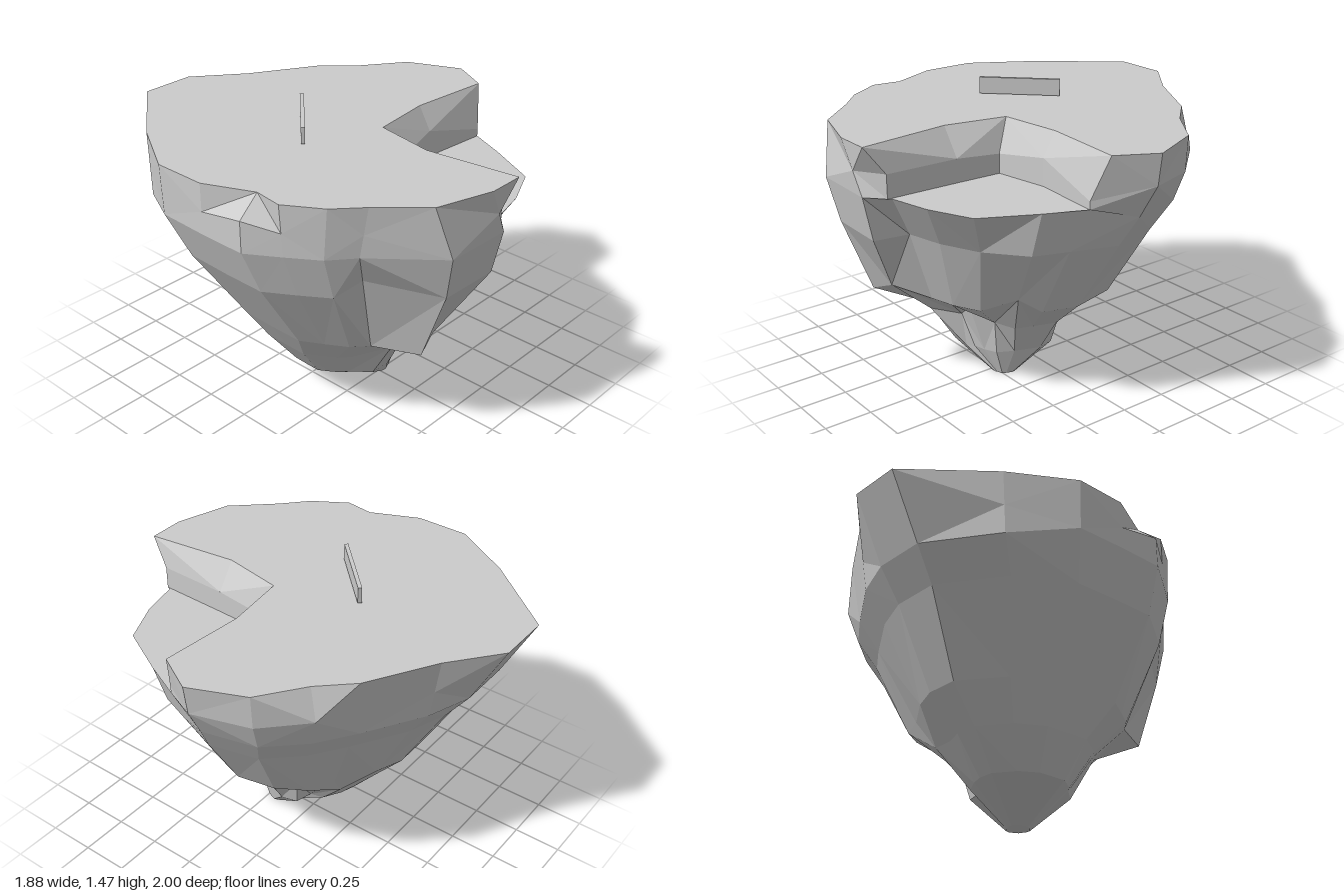
import * as THREE from 'three';

const TOP = 1.38, SHELF = 1.12, BACK = 1.05;

// Plan outline [x, z] of the upper plateau, clockwise seen from above
const plateau = [
  [-0.42, -1], [-0.14, -1], [0.11, -0.8], [0.45, -0.6], [0.6, -0.44], [0.82, -0.28], [0.94, 0],
  [0.83, 0.2], [0.39, 0.16], [0.06, 0.2], [0, 0.52], [0.06, 1],
  [-0.13, 1], [-0.42, 0.91], [-0.61, 0.7], [-0.74, 0.58], [-0.85, 0.4], [-0.83, 0.25],
  [-0.94, 0], [-0.94, -0.28], [-0.75, -0.6],
];
// Plan outline of the shoulder below it, running around the outside of the lower shelf
const shoulder = [
  [-0.41, -0.83], [-0.13, -0.83], [0.1, -0.75], [0.4, -0.57], [0.59, -0.44], [0.76, -0.26], [0.83, 0.02],
  [0.74, 0.27], [0.67, 0.46], [0.53, 0.73], [0.31, 0.83], [0.1, 0.88],
  [0, 0.98], [-0.36, 0.97], [-0.62, 0.66], [-0.74, 0.56], [-0.84, 0.41], [-0.94, 0.25],
  [-0.94, 0], [-0.93, -0.28], [-0.75, -0.59],
];
// Brow [x, y, z] of the cliff behind the shelf
const CLIFF = 7;
const brow = [[0.76, 1.16, 0.26], [0.39, 1.26, 0.23], [0.11, 1.22, 0.28], [0.1, 1.24, 0.52], [0.09, 1.24, 0.9]];
// Steep knobs just below the rim: point, x, y, z
const knobs = [[4, 0.63, 1.22, -0.49], [5, 0.81, 1.2, -0.28], [6, 0.92, 1.22, 0], [17, -0.94, 1.28, 0.25]];

// Underside levels: height and the plan box the shoulder outline shrinks into
const levels = [
  { y: 0.89, x: [-0.85, 0.74], z: [-0.71, 0.93] },
  { y: 0.5, x: [-0.61, 0.5], z: [-0.49, 0.77] },
  { y: 0.32, x: [-0.49, 0.29], z: [-0.34, 0.52] },
  { y: 0.14, x: [-0.36, 0.18], z: [-0.18, 0.37] },
  { y: 0, x: [-0.03, 0.1], z: [0.14, 0.27] },
];
// Crags and hollows: level, point, then shift in x, y, z
const crags = [
  [0, 14, 0.02, 0.06, -0.03], [1, 4, 0.02, 0, -0.03], [1, 5, 0.02, 0.02, -0.02], [1, 8, 0, 0.08, -0.02],
  [1, 12, -0.16, 0.05, -0.03], [1, 13, -0.06, 0, 0.01], [2, 3, 0.02, 0.02, -0.05], [2, 5, -0.06, 0, 0.03],
  [2, 10, 0, 0.08, 0.04], [2, 12, -0.1, 0.04, 0], [2, 13, 0.02, 0.06, 0], [3, 4, -0.04, 0, 0.03],
];

function buildRings() {
  const top = plateau.map(([x, z]) => new THREE.Vector3(x, TOP, z));
  const outer = shoulder.map(([x, z], i) => new THREE.Vector3(x, i < CLIFF || z < -0.5 ? BACK : SHELF, z));
  const mid = top.map((p, i) => p.clone().lerp(outer[i], i % 2 ? 0.42 : 0.55));
  const inner = outer.map((p) => p.clone());
  brow.forEach(([x, y, z], k) => {
    mid[CLIFF + k].set(x, y, z);
    inner[CLIFF + k].set(x, SHELF, z);
  });
  for (const [i, ...p] of knobs) mid[i].set(...p);

  const range = new THREE.Box3().setFromPoints(outer);
  const map = THREE.MathUtils.mapLinear;
  const lower = levels.map(({ y, x, z }) => outer.map((p) => new THREE.Vector3(
    map(p.x, range.min.x, range.max.x, ...x), y, map(p.z, range.min.z, range.max.z, ...z))));
  // Hollow under the shelf, then the single crags
  const hollow = new THREE.Vector3(-0.06, 0, -0.09);
  for (const ring of lower.slice(0, 3)) for (const i of [9, 10, 11]) ring[i].add(hollow);
  for (const [level, i, ...shift] of crags) lower[level][i].add(new THREE.Vector3(...shift));
  return [top, mid, inner, outer, ...lower];
}

function rockGeometry() {
  const rings = buildRings();
  const positions = [];
  const triangle = new THREE.Triangle();
  const face = (a, b, c) => {
    if (triangle.set(a, b, c).getArea() < 1e-7) return;
    for (const p of [a, b, c]) positions.push(p.x, p.y, p.z);
  };

  // Skin between neighbouring rings
  for (let r = 0; r < rings.length - 1; r++) {
    const up = rings[r], down = rings[r + 1], n = up.length;
    for (let i = 0; i < n; i++) {
      const j = (i + 1) % n;
      if ((r + i) % 2 || r === 2) {
        face(up[i], up[j], down[j]);
        face(up[i], down[j], down[i]);
      } else {
        face(up[i], up[j], down[i]);
        face(up[j], down[j], down[i]);
      }
    }
  }

  // Flat plateau
  const top = rings[0];
  const outline = top.map((p) => new THREE.Vector2(p.x, p.z));
  const normal = new THREE.Vector3();
  for (const [a, b, c] of THREE.ShapeUtils.triangulateShape(outline, [])) {
    triangle.set(top[a], top[b], top[c]).getNormal(normal);
    if (normal.y > 0) face(top[a], top[b], top[c]);
    else face(top[a], top[c], top[b]);
  }

  // Small flat tip
  const tip = rings.at(-1);
  const centre = new THREE.Vector3(0.035, 0, 0.2);
  tip.forEach((p, i) => face(p, tip[(i + 1) % tip.length], centre));

  const geometry = new THREE.BufferGeometry();
  geometry.setAttribute('position', new THREE.Float32BufferAttribute(positions, 3));
  geometry.computeVertexNormals();
  return geometry;
}

export function createModel() {
  const model = new THREE.Group();
  model.name = 'floatingIsland';
  const material = new THREE.MeshStandardMaterial({ color: 0xcccccc, flatShading: true, side: THREE.DoubleSide });

  const rock = new THREE.Mesh(rockGeometry(), material);
  rock.name = 'rock';

  // Thin upright slab set diagonally on the plateau
  const slab = new THREE.Mesh(new THREE.BoxGeometry(0.415, 0.085, 0.02), material);
  slab.name = 'slab';
  slab.position.set(-0.205, 1.43, -0.085);
  slab.rotation.y = Math.PI / 4;

  model.add(rock, slab);
  return model;
}
